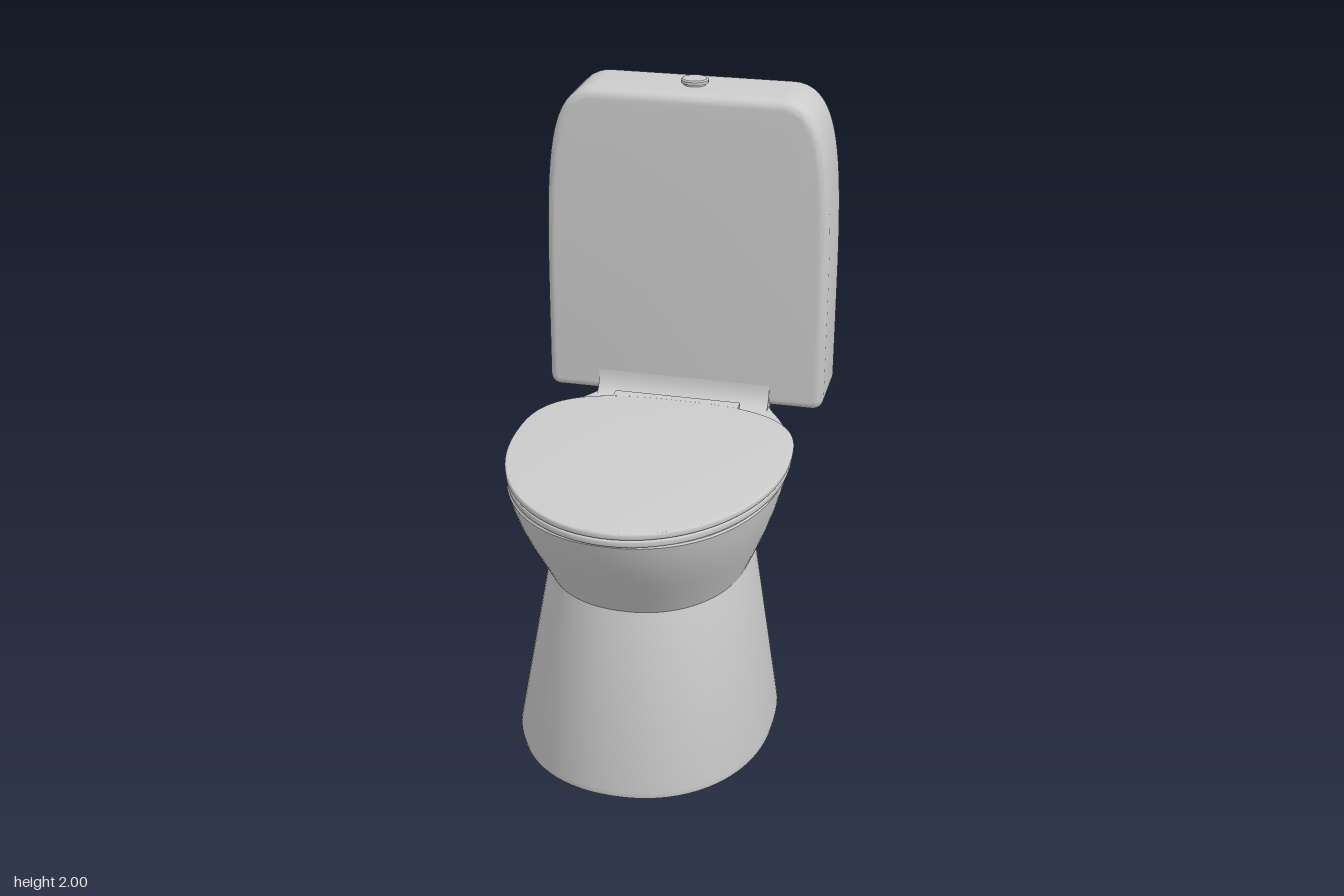
import * as THREE from 'three';
import { toCreasedNormals } from 'three/addons/utils/BufferGeometryUtils.js';

const ceramic = new THREE.MeshStandardMaterial({ color: 0xcccccc });
ceramic.name = 'ceramic grey';

function part(name, geometry, crease = 0.6) {
  const mesh = new THREE.Mesh(toCreasedNormals(geometry, crease), ceramic);
  mesh.name = name;
  return mesh;
}

// Point on an egg: half width w, widest at z = c, front and rear lengths, exponent n
function eggPoint(t, w, c, front, rear, n) {
  const s = Math.sin(t), k = Math.cos(t);
  const x = w * Math.pow(Math.abs(s), 2 / n) * Math.sign(s);
  const z = c + (k > 0 ? front : -rear) * Math.pow(Math.abs(k), 2 / n);
  return new THREE.Vector2(x, z);
}

// Closed outline: oval front, blended into a narrow rectangular trunk behind
function bodyRing({ y, w, front, c, rear, trunk, back, n = 2.15 }) {
  const f = 0.035, r = 0.012, half = [];
  const endAngle = x => Math.PI - Math.asin(Math.pow(x / w, n / 2));
  const end = endAngle(trunk + f);
  for (let i = 0; i <= 32; i++) half.push(eggPoint(end * i / 32, w, c, front - c, rear, n));
  const join = eggPoint(endAngle(trunk), w, c, front - c, rear, n);
  const blend = new THREE.QuadraticBezierCurve(half[32], join, new THREE.Vector2(trunk, join.y - f));
  half.push(...blend.getPoints(6).slice(1));
  const corner = new THREE.QuadraticBezierCurve(
    new THREE.Vector2(trunk, back + r), new THREE.Vector2(trunk, back), new THREE.Vector2(trunk - r, back));
  half.push(...corner.getPoints(4));
  half.push(new THREE.Vector2(0, back));
  const mirrored = half.slice(1, -1).reverse().map(p => new THREE.Vector2(-p.x, p.y));
  return [...half, ...mirrored].map(p => new THREE.Vector3(p.x, y, p.y));
}

// Skin stacked rings, bottom to top, and close both ends
function loft(levels) {
  const rings = levels.map(bodyRing);
  const count = rings[0].length, last = rings.length - 1;
  const positions = rings.flat().flatMap(p => [p.x, p.y, p.z]);
  const index = [];
  const bottom = count * rings.length, top = bottom + 1;
  positions.push(0, levels[0].y, 0, 0, levels[last].y, 0);
  for (let i = 0; i < count; i++) {
    const k = (i + 1) % count;
    for (let j = 0; j < last; j++) {
      const a = j * count + i, b = j * count + k;
      index.push(a, b, b + count, a, b + count, a + count);
    }
    index.push(bottom, k, i, top, last * count + i, last * count + k);
  }
  const g = new THREE.BufferGeometry();
  g.setAttribute('position', new THREE.Float32BufferAttribute(positions, 3));
  g.setIndex(index);
  return g;
}

// Flat egg-shaped plate with softened edges, between heights y0 and y1
function eggPlate(y0, y1, inset) {
  const b = 0.005, pts = [];
  for (let i = 0; i < 96; i++) {
    const t = i / 96 * Math.PI * 2;
    const p = eggPoint(t, 0.44 - inset - b, 0.08, 0.57 - inset - b, 0.35 - inset - b, Math.cos(t) > 0 ? 2 : 2.9);
    pts.push(new THREE.Vector2(p.x, -p.y));
  }
  const g = new THREE.ExtrudeGeometry(new THREE.Shape(pts), {
    depth: y1 - y0 - 2 * b, bevelSize: b, bevelThickness: b, bevelSegments: 3 });
  return g.rotateX(-Math.PI / 2).translate(0, y0 + b, 0);
}

function tankGeometry() {
  const b = 0.03, s = new THREE.Shape();
  s.moveTo(-0.43, 0.97);
  s.lineTo(0.43, 0.97);
  s.quadraticCurveTo(0.437, 0.97, 0.437, 0.98);
  s.lineTo(0.437, 1.3);
  s.bezierCurveTo(0.437, 1.75, 0.42, 1.95, 0.30, 1.95);
  s.lineTo(-0.30, 1.95);
  s.bezierCurveTo(-0.42, 1.95, -0.437, 1.75, -0.437, 1.3);
  s.lineTo(-0.437, 0.98);
  s.quadraticCurveTo(-0.437, 0.97, -0.43, 0.97);
  return new THREE.ExtrudeGeometry(s, {
    depth: 0.2, bevelSize: b, bevelThickness: b, bevelSegments: 6, curveSegments: 20,
  }).translate(0, 0, -0.62);
}

// Concave sweep from the bowl deck up to the tank front
function filletGeometry() {
  const s = new THREE.Shape();
  s.moveTo(0.42, 0.92);
  s.lineTo(0.31, 0.92);
  s.lineTo(0.31, 0.937);
  s.quadraticCurveTo(0.388, 0.937, 0.391, 1.03);
  s.lineTo(0.42, 1.03);
  return new THREE.ExtrudeGeometry(s, { depth: 0.58, bevelEnabled: false, curveSegments: 10 })
    .rotateY(Math.PI / 2).translate(-0.29, 0, 0);
}

export function createModel() {
  const model = new THREE.Group();
  model.name = 'toilet';

  const waist = { y: 0.61, w: 0.32, front: 0.45, c: 0.05, rear: 0.45, trunk: 0.17, back: -0.505 };

  // Pedestal tapering up to the waist
  model.add(part('pedestal', loft([
    { y: 0, w: 0.40, front: 0.56, c: 0.08, rear: 0.49, trunk: 0.215, back: -0.635 },
    { y: 0.008, w: 0.413, front: 0.573, c: 0.08, rear: 0.5, trunk: 0.22, back: -0.637 },
    { y: 0.03, w: 0.417, front: 0.577, c: 0.08, rear: 0.5, trunk: 0.22, back: -0.633 },
    waist,
  ])));

  // Bowl flaring from the waist to the rim
  model.add(part('bowl', loft([
    waist,
    { y: 0.69, w: 0.353, front: 0.50, c: 0.055, rear: 0.47, trunk: 0.19, back: -0.542 },
    { y: 0.76, w: 0.38, front: 0.549, c: 0.06, rear: 0.50, trunk: 0.215, back: -0.577 },
    { y: 0.83, w: 0.403, front: 0.59, c: 0.07, rear: 0.54, trunk: 0.245, back: -0.61 },
    { y: 0.89, w: 0.419, front: 0.62, c: 0.075, rear: 0.58, trunk: 0.273, back: -0.633 },
    { y: 0.937, w: 0.429, front: 0.637, c: 0.08, rear: 0.60, trunk: 0.29, back: -0.643 },
    { y: 0.943, w: 0.425, front: 0.633, c: 0.08, rear: 0.595, trunk: 0.288, back: -0.643 },
  ])));

  // Cistern and its blend into the deck
  model.add(part('tank', tankGeometry()));
  model.add(part('tankFillet', filletGeometry()));

  // Seat, lid and hinge bar
  model.add(part('seat', eggPlate(0.943, 0.965, 0.004)));
  model.add(part('seatGap', eggPlate(0.955, 0.978, 0.014)));
  model.add(part('lid', eggPlate(0.969, 0.99, 0)));
  model.add(part('hinge', new THREE.BoxGeometry(0.42, 0.05, 0.06).translate(0, 0.963, -0.27)));

  // Flush button with a slim collar
  const profile = [[0, 1.97], [0.036, 1.97], [0.036, 1.985], [0.044, 1.987], [0.044, 1.996], [0.039, 2], [0, 2]]
    .map(([x, y]) => new THREE.Vector2(x, y));
  model.add(part('flushButton', new THREE.LatheGeometry(profile, 32).translate(0, 0, -0.52)));

  return model;
}
